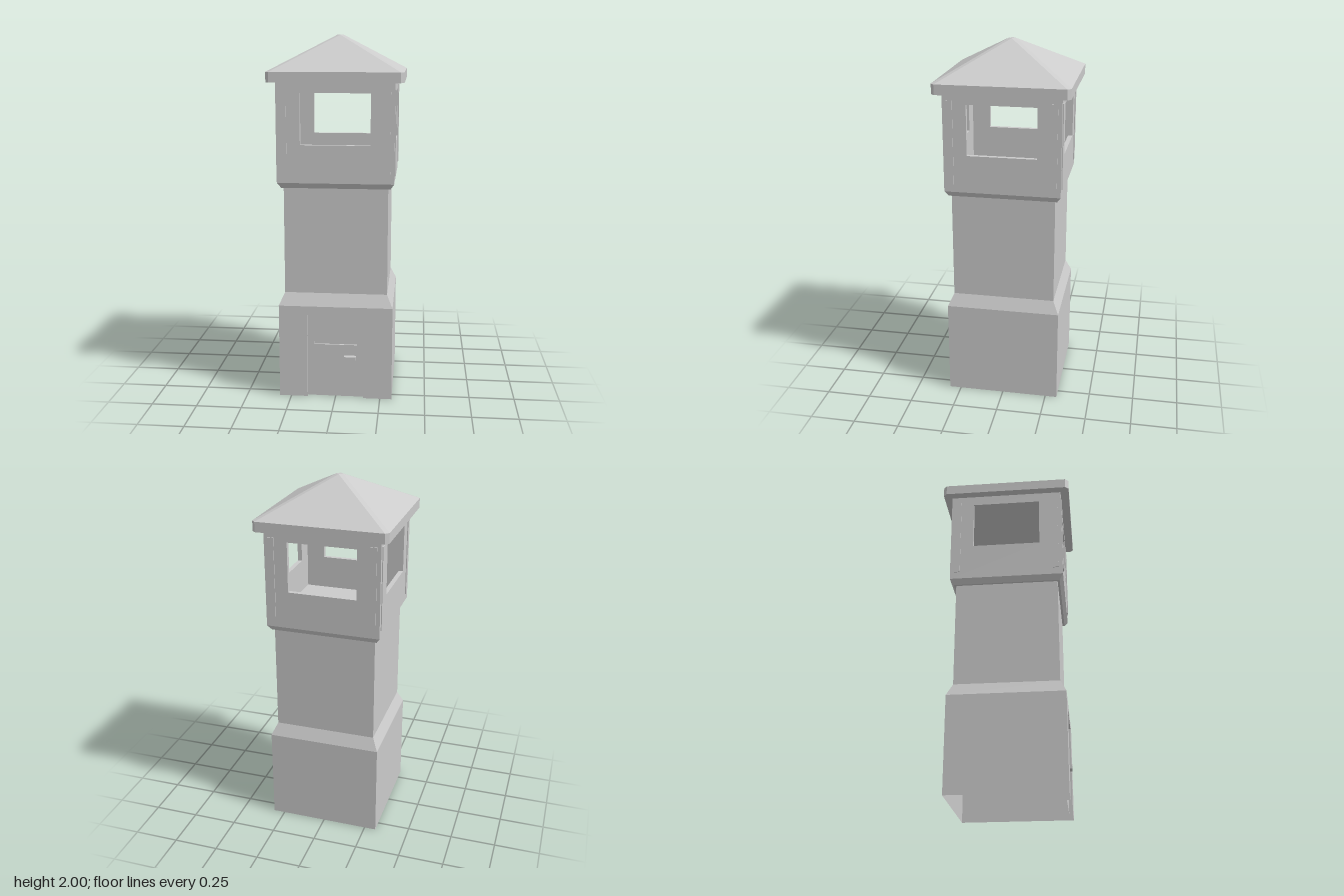
import * as THREE from 'three';

const mat = new THREE.MeshStandardMaterial({ color: 0xcccccc, flatShading: true, side: THREE.DoubleSide });

function add(parent, name, geo, x = 0, y = 0, z = 0) {
  const mesh = new THREE.Mesh(geo, mat);
  mesh.name = name;
  mesh.position.set(x, y, z);
  parent.add(mesh);
  return mesh;
}

// Square ring of half-size h at height y, corners cut by c
function ring([h, y, c = 0]) {
  const pts = [];
  let corners = c > 0 ? [[h, c - h], [h, h - c]] : [[h, h]];
  for (let k = 0; k < 4; k++) {
    corners.forEach(([x, z]) => pts.push(new THREE.Vector3(x, y, z)));
    corners = corners.map(([x, z]) => [-z, x]);
  }
  return pts;
}

// Skin between stacked rings, with optional flat ends
function loft(levels, capBottom = true, capTop = true) {
  const rings = levels.map(ring), out = [];
  const tri = (a, b, c) => {
    if (new THREE.Triangle(a, b, c).getArea() > 1e-8) out.push(...a, ...b, ...c);
  };
  const n = rings[0].length, last = rings.length - 1;
  const bottom = new THREE.Vector3(0, levels[0][1], 0), top = new THREE.Vector3(0, levels[last][1], 0);
  for (let i = 0; i < n; i++) {
    const j = (i + 1) % n;
    for (let r = 0; r < last; r++) {
      const lo = rings[r], hi = rings[r + 1];
      tri(lo[i], hi[i], lo[j]);
      tri(lo[j], hi[i], hi[j]);
    }
    if (capBottom) tri(bottom, rings[0][i], rings[0][j]);
    if (capTop) tri(top, rings[last][j], rings[last][i]);
  }
  const geo = new THREE.BufferGeometry();
  geo.setAttribute('position', new THREE.Float32BufferAttribute(out, 3));
  geo.computeVertexNormals();
  return geo;
}

// Side faces joining a polyline in the xy plane at z0 to its copy at z1
function reveal(points, z0, z1) {
  const out = [];
  for (let i = 0; i < points.length - 1; i++) {
    const [a, b] = points[i], [c, d] = points[i + 1];
    out.push(a, b, z0, a, b, z1, c, d, z0, c, d, z0, a, b, z1, c, d, z1);
  }
  const geo = new THREE.BufferGeometry();
  geo.setAttribute('position', new THREE.Float32BufferAttribute(out, 3));
  geo.computeVertexNormals();
  return geo;
}

const rect = (x0, x1, y0, y1) => [[x0, y0], [x1, y0], [x1, y1], [x0, y1]];
const toVec = (pts) => pts.map(([x, y]) => new THREE.Vector2(x, y));

function panel(outline, hole) {
  const shape = new THREE.Shape(toVec(outline));
  if (hole) shape.holes.push(new THREE.Path(toVec(hole)));
  return shape;
}

export function createModel() {
  const model = new THREE.Group();
  model.name = 'watchtower';
  const W = 0.315, baseTop = 0.53, doorX = 0.157, doorTop = 0.48;

  // Open-bottomed base, with a doorway in the front wall
  const base = new THREE.Group();
  base.name = 'base';
  model.add(base);
  const doorway = [[-doorX, 0], [-doorX, doorTop], [doorX, doorTop], [doorX, 0]];
  const frontWall = [[-W, 0], ...doorway, [W, 0], [W, baseTop], [-W, baseTop]];
  for (let k = 0; k < 4; k++) {
    const side = new THREE.Group();
    side.name = 'baseSide';
    side.rotation.y = k * Math.PI / 2;
    base.add(side);
    add(side, 'baseWall', new THREE.ShapeGeometry(panel(k ? rect(-W, W, 0, baseTop) : frontWall)), 0, 0, W);
  }

  // Recessed door with a sunken window and a handle
  const door = new THREE.Group();
  door.name = 'door';
  model.add(door);
  const pane = rect(-0.119, 0.119, 0.305, 0.445);
  const doorZ = W - 0.02, paneZ = doorZ - 0.01;
  add(door, 'doorFrame', reveal(doorway, W, doorZ));
  add(door, 'doorLeaf', new THREE.ShapeGeometry(panel(rect(-doorX, doorX, 0, doorTop), pane)), 0, 0, doorZ);
  add(door, 'doorWindowFrame', reveal([...pane, pane[0]], doorZ, paneZ));
  add(door, 'doorWindow', new THREE.ShapeGeometry(panel(pane)), 0, 0, paneZ);
  add(door, 'doorHandle', new THREE.BoxGeometry(0.066, 0.022, 0.027), 0.081, 0.232, 0.3085);

  // Sloped shoulder and shaft
  add(model, 'shaft', loft([[W, baseTop], [0.283, 0.6], [0.283, 1.19]], false, false));

  // Lookout cabin
  const cabin = new THREE.Group();
  cabin.name = 'cabin';
  model.add(cabin);
  add(cabin, 'cabinSkirt', loft([[0.295, 1.19], [W, 1.22]]));
  add(cabin, 'cabinFloor', loft([[0.29, 1.22], [0.29, 1.24]], false, true));
  add(cabin, 'floorHandle', new THREE.BoxGeometry(0.02, 0.015, 0.08), 0.08, 1.2475, 0.015);

  const wallGeo = new THREE.ExtrudeGeometry(
    panel(rect(-W, 0.29, 1.22, 1.76), rect(-0.188, 0.188, 1.425, 1.7)),
    { depth: 0.025, bevelEnabled: false });
  const stripGeo = new THREE.BoxGeometry(0.033, 0.46, 0.01);
  for (let k = 0; k < 4; k++) {
    const side = new THREE.Group();
    side.name = 'cabinSide';
    side.rotation.y = k * Math.PI / 2;
    cabin.add(side);
    add(side, 'cabinWall', wallGeo, 0, 0, 0.29);
    for (const s of [-1, 1]) add(side, 'cornerStrip', stripGeo, s * 0.277, 1.49, W);
  }

  // Hipped roof with cut corners and a tiny flat tip
  const cut = 0.019;
  add(model, 'roof', loft([[0.362, 1.755, cut], [0.362, 1.81, cut], [cut, 2, cut]]));
  return model;
}
